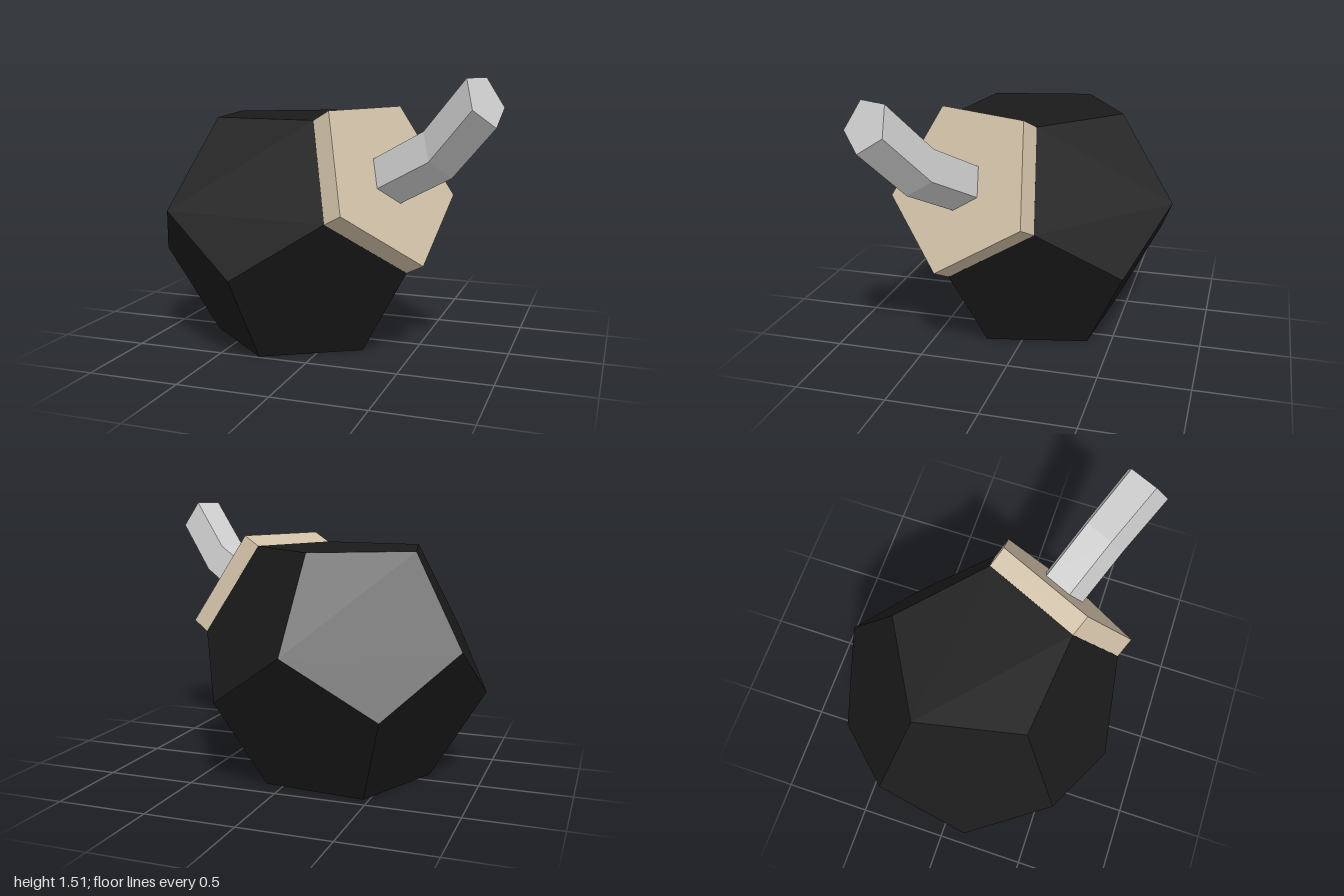
import * as THREE from 'three';
import { ConvexGeometry } from 'three/addons/geometries/ConvexGeometry.js';

const INRADIUS = 0.643;
const FACE_RADIUS = 0.491; // corner radius of one pentagon
const BELT_RADIUS = 0.794; // radius of the two middle rings of corners
const CENTRE = new THREE.Vector3(-0.225, INRADIUS, 0);
const rad = THREE.MathUtils.degToRad;

const material = (color) => new THREE.MeshStandardMaterial({ color, flatShading: true });

// Twelve-sided body: four rings of five corners
function bodyGeometry() {
  const rings = [
    [FACE_RADIUS, INRADIUS, -12],
    [BELT_RADIUS, 0.152, -12],
    [BELT_RADIUS, -0.152, 24],
    [FACE_RADIUS, -INRADIUS, 24],
  ];
  const points = [];
  for (const [radius, y, start] of rings) {
    for (let i = 0; i < 5; i++) {
      const a = rad(start + i * 72);
      points.push(new THREE.Vector3(Math.cos(a) * radius, y, Math.sin(a) * radius));
    }
  }
  return new ConvexGeometry(points);
}

// Capped five-sided bar through a list of ring centres, along +z
function pentagonBar(radius, centres) {
  const corners = centres.map((c) => Array.from({ length: 5 }, (_, i) => {
    const a = rad(54 + i * 72);
    return [c[0] + Math.cos(a) * radius, c[1] + Math.sin(a) * radius, c[2]];
  }));
  const positions = [];
  const tri = (a, b, c) => positions.push(...a, ...b, ...c);
  for (let r = 0; r < corners.length - 1; r++) {
    const lo = corners[r], hi = corners[r + 1];
    for (let i = 0; i < 5; i++) {
      const j = (i + 1) % 5;
      tri(lo[i], lo[j], hi[j]);
      tri(lo[i], hi[j], hi[i]);
    }
  }
  const first = corners[0], last = corners[corners.length - 1];
  for (let i = 1; i < 4; i++) {
    tri(first[0], first[i + 1], first[i]);
    tri(last[0], last[i], last[i + 1]);
  }
  const geometry = new THREE.BufferGeometry();
  geometry.setAttribute('position', new THREE.Float32BufferAttribute(positions, 3));
  geometry.computeVertexNormals();
  return geometry;
}

function addMesh(parent, name, geometry, color) {
  const mesh = new THREE.Mesh(geometry, material(color));
  mesh.name = name;
  parent.add(mesh);
  return mesh;
}

export function createModel() {
  const model = new THREE.Group();
  model.name = 'facetedBodyWithStem';

  addMesh(model, 'body', bodyGeometry(), 0x1a1a1a).position.copy(CENTRE);

  // Frame of the upper front-left face that carries the plate and stem
  const azimuth = rad(24), tilt = Math.atan(0.5);
  const normal = new THREE.Vector3(
    Math.cos(tilt) * Math.cos(azimuth), Math.sin(tilt), Math.cos(tilt) * Math.sin(azimuth));
  const right = new THREE.Vector3(Math.sin(azimuth), 0, -Math.cos(azimuth));
  const up = normal.clone().cross(right);
  const mount = new THREE.Group();
  mount.name = 'mount';
  mount.quaternion.setFromRotationMatrix(new THREE.Matrix4().makeBasis(right, up, normal));
  mount.position.copy(CENTRE).addScaledVector(normal, INRADIUS);
  model.add(mount);

  addMesh(mount, 'plate', pentagonBar(FACE_RADIUS, [[0, 0, 0], [0, 0, 0.12]]), 0xcfbfa6);

  // Stem goes straight out, then bends upwards
  addMesh(mount, 'stem', pentagonBar(0.143,
    [[0, 0, 0.12], [0, 0, 0.48], [-0.035, 0.115, 0.84]]), 0xcccccc);

  return model;
}
